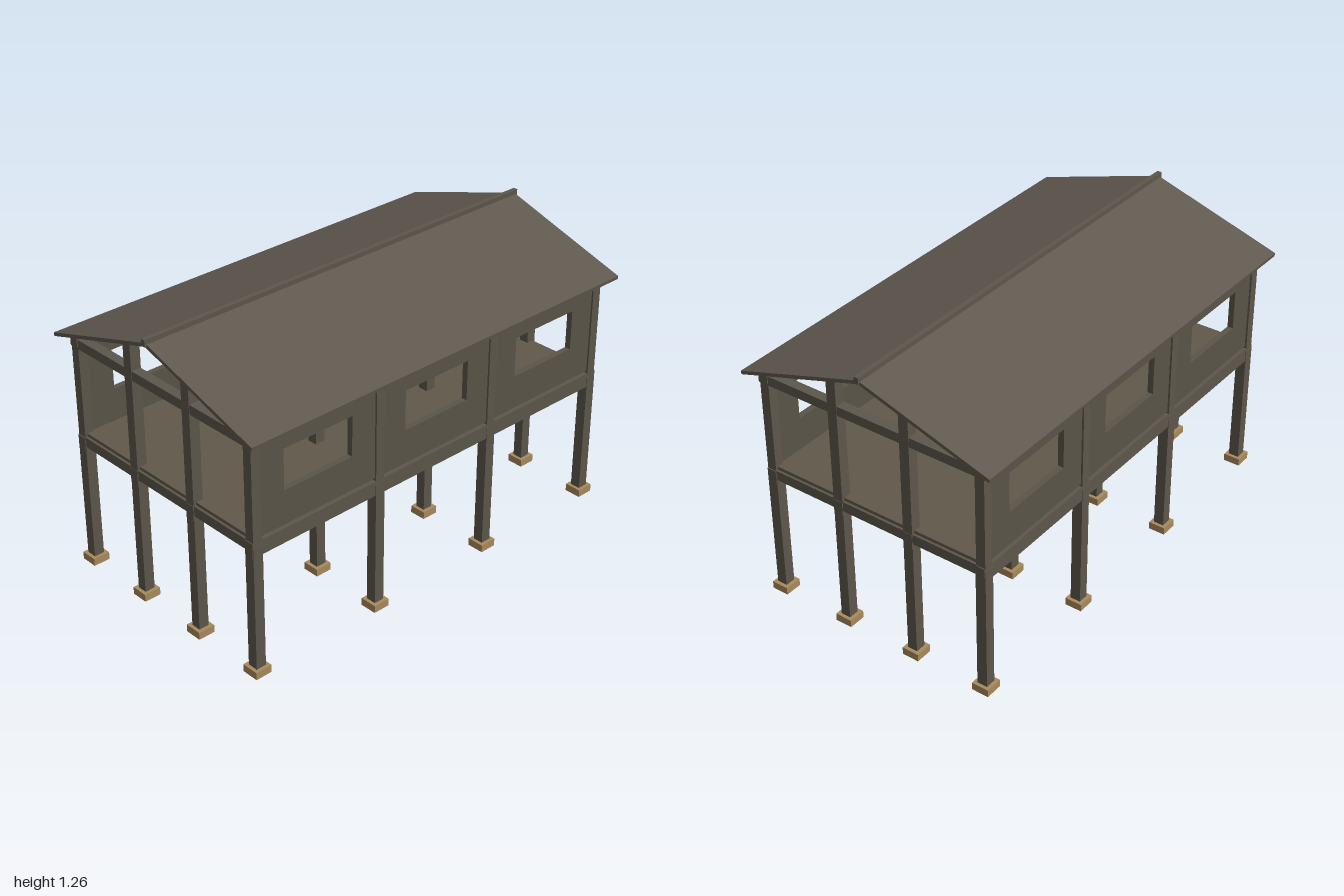
import * as THREE from 'three';

const material = (name, color) => {
  const m = new THREE.MeshStandardMaterial({ color });
  m.name = name;
  return m;
};

export function createModel() {
  const house = new THREE.Group();
  house.name = 'stiltHouse';
  const timber = material('dark timber', 0x5d574b);
  const panel = material('wall panel', 0x5a5448);
  const roofing = material('roofing', 0x5f584e);
  const boards = material('floor boards', 0x62584b);
  const stone = material('sandy footing', 0xa88a5c);

  const add = (name, geometry, mat) => {
    const mesh = new THREE.Mesh(geometry, mat);
    mesh.name = name;
    house.add(mesh);
    return mesh;
  };
  // Box given by centre and size in x and z, and by bottom and top in y
  const box = (name, mat, x, z, w, d, y0, y1) => {
    const mesh = add(name, new THREE.BoxGeometry(w, y1 - y0, d), mat);
    mesh.position.set(x, (y0 + y1) / 2, z);
    return mesh;
  };

  const frames = [-0.93, -0.31, 0.31, 0.93];
  const rows = [-0.512, -0.171, 0.171, 0.512];

  // Footings, stilts and upper posts
  for (const x of frames) {
    for (const z of rows) {
      const outer = Math.abs(z) > 0.3;
      box('footing', stone, x, z, 0.076, 0.076, 0, 0.033);
      if (outer) {
        box('stilt', timber, x, z, 0.046, 0.046, 0.033, 0.59);
        box('outerPost', timber, x, z, 0.042, 0.042, 0.59, 1.04);
      } else {
        box('innerPost', timber, x, z, 0.046, 0.044, 0.033, 1.17);
      }
    }
    // Cross beams under the floor and ties under the roof
    box('floorCrossBeam', timber, x, 0, 0.042, 1.066, 0.562, 0.606);
    box('tieBeam', timber, x, 0, 0.042, 1.08, 1.005, 1.046);
  }

  // Long beams under the floor, and wall plates under the eaves
  for (const z of rows) {
    box('floorLongBeam', timber, 0, z, 1.91, 0.042, 0.541, 0.605);
    if (Math.abs(z) > 0.3) box('wallPlate', timber, 0, z, 1.91, 0.04, 1.015, 1.059);
  }
  box('floor', boards, 0, 0, 1.88, 1.03, 0.605, 0.62);

  // Wall panels, each with one window opening
  const shape = new THREE.Shape();
  shape.moveTo(-0.3, 0.615).lineTo(0.3, 0.615).lineTo(0.3, 1.015).lineTo(-0.3, 1.015).closePath();
  const opening = new THREE.Path();
  opening.moveTo(-0.17, 0.763).lineTo(-0.17, 0.94).lineTo(0.17, 0.94).lineTo(0.17, 0.763).closePath();
  shape.holes.push(opening);
  const wall = new THREE.ExtrudeGeometry(shape, { depth: 0.026, bevelEnabled: false });
  wall.translate(0, 0, -0.013);
  for (const side of [-1, 1]) {
    for (const x of [-0.62, 0, 0.62]) {
      add('windowWall', wall, panel).position.set(x, 0, side * 0.512);
    }
  }

  // Gable roof: two sloping slabs extruded along the ridge
  for (const side of [-1, 1]) {
    const slope = new THREE.Shape();
    slope.moveTo(0, 1.24).lineTo(side * 0.589, 1.056).lineTo(side * 0.587, 1.041).lineTo(0, 1.224).closePath();
    const slab = new THREE.ExtrudeGeometry(slope, { depth: 1.984, bevelEnabled: false });
    slab.translate(0, 0, -0.992).rotateY(Math.PI / 2);
    add(side > 0 ? 'backRoof' : 'frontRoof', slab, roofing);
  }
  box('ridgeCap', timber, 0, 0, 2, 0.02, 1.228, 1.257);

  return house;
}
